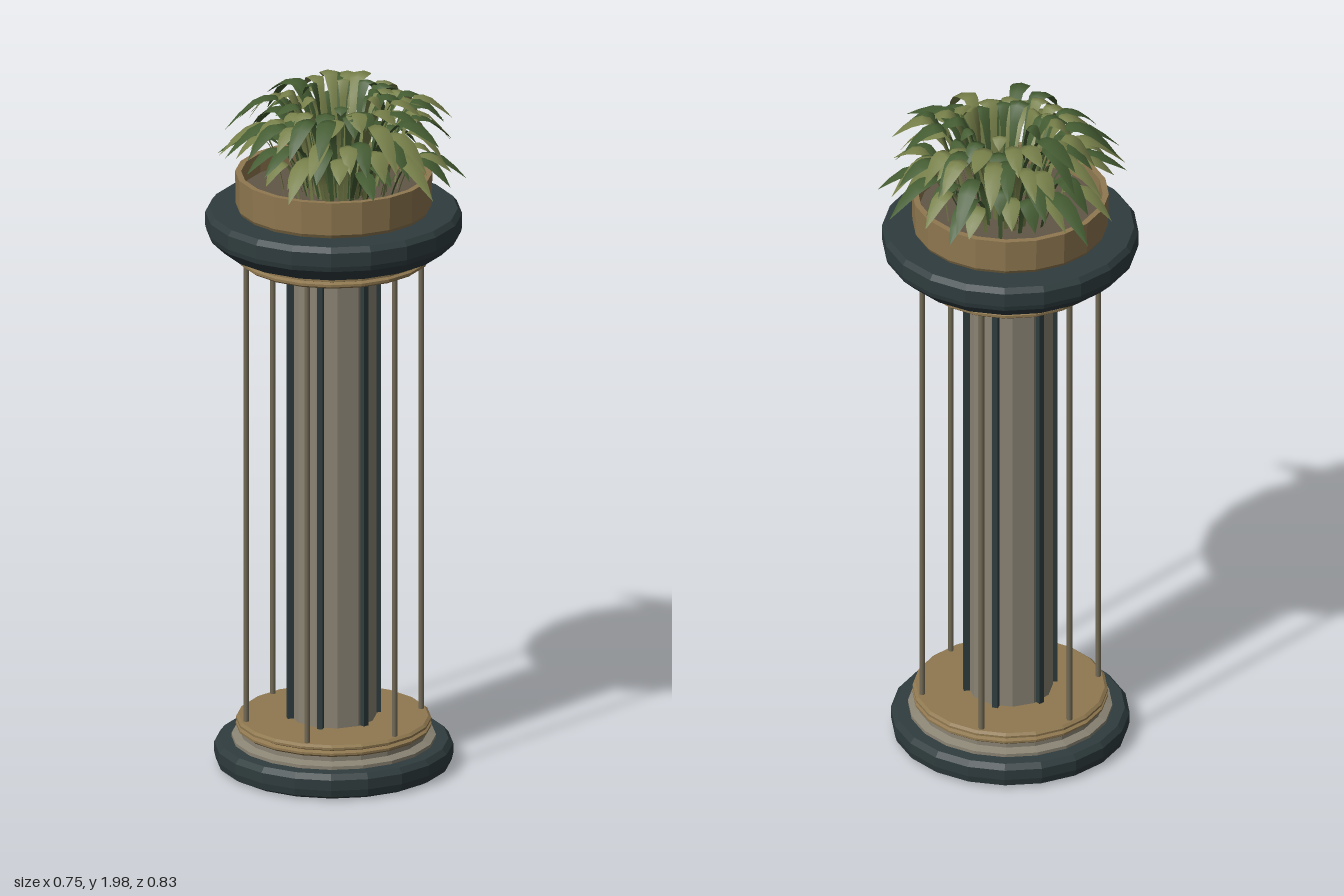
import * as THREE from 'three';

const mat = (name, color) => {
  const m = new THREE.MeshStandardMaterial({ color, side: THREE.DoubleSide });
  m.name = name;
  return m;
};

const dark = mat('dark slate', 0x2f3c3e);
const tan = mat('tan stone', 0x8f7850);
const grey = mat('warm grey', 0x8a8474);
const rodGrey = mat('rod olive grey', 0x736b57);
const soilBrown = mat('soil', 0x625746);
const leafDark = mat('dark leaf', 0x445c32);
const leafLight = mat('light leaf', 0x77804a);

// seeded random numbers
let seed = 11;
const rand = (a, b) => {
  seed = (seed * 16807) % 2147483647;
  return a + (b - a) * (seed / 2147483647);
};

// facetted shading with unshared vertices
function facet(geo) {
  const g = geo.index ? geo.toNonIndexed() : geo;
  g.computeVertexNormals();
  return g;
}

function add(parent, name, geo, material) {
  const mesh = new THREE.Mesh(geo, material);
  mesh.name = name;
  parent.add(mesh);
  return mesh;
}

// turned part from [radius, height] pairs, listed from bottom to top
const turned = (pts, sides = 20) =>
  facet(new THREE.LatheGeometry(pts.map(([r, y]) => new THREE.Vector2(r, y)), sides));

// arching blade: rises from r0, peaks at height h and drops to the tip
function blade(r0, tipR, h, tipY, width, angle) {
  const at = (t) => r0 + (tipR - r0) * t;
  const path = new THREE.CatmullRomCurve3([
    new THREE.Vector3(0, 1.685, r0),
    new THREE.Vector3(0, 1.685 + (h - 1.685) * 0.6, at(0.18)),
    new THREE.Vector3(0, h - 0.008, at(0.45)),
    new THREE.Vector3(0, h - (h - tipY) * 0.22, at(0.7)),
    new THREE.Vector3(0, tipY, tipR),
  ]);
  const widths = [0.2, 0.24, 0.3, 0.45, 0.75, 1, 0.95, 0.6, 0];
  const pos = [], index = [];
  widths.forEach((w, i) => {
    const p = path.getPoint(i / (widths.length - 1));
    const half = (w * width) / 2;
    // slight fold along the midrib
    pos.push(-half, p.y - half * 0.25, p.z, 0, p.y, p.z, half, p.y - half * 0.25, p.z);
    if (i === 0) return;
    for (let k = 0; k < 2; k++) {
      const a = (i - 1) * 3 + k, b = a + 3;
      index.push(a, a + 1, b, a + 1, b + 1, b);
    }
  });
  const g = new THREE.BufferGeometry();
  g.setAttribute('position', new THREE.Float32BufferAttribute(pos, 3));
  g.setIndex(index);
  g.computeVertexNormals();
  g.rotateY(angle);
  return g;
}

export function createModel() {
  const model = new THREE.Group();
  model.name = 'planterColumn';
  const stand = new THREE.Group();
  stand.name = 'stand';
  stand.position.set(-0.018, 0, -0.015);
  model.add(stand);

  // base
  add(stand, 'basePlinth', turned([[0, 0.005], [0.31, 0.005], [0.328, 0.015], [0.333, 0.035],
    [0.333, 0.065], [0.32, 0.08], [0, 0.085]]), dark);
  add(stand, 'baseCollar', turned([[0.285, 0.08], [0.285, 0.09], [0.262, 0.098], [0.262, 0.115]]), grey);
  add(stand, 'baseDisc', turned([[0, 0.112], [0.265, 0.112], [0.273, 0.118], [0.273, 0.124], [0.262, 0.129],
    [0.272, 0.134], [0.272, 0.14], [0.264, 0.146], [0, 0.146]]), tan);

  // column with dark ribs, ringed by thin rods
  const shaft = new THREE.CylinderGeometry(0.12, 0.12, 1.36, 12);
  shaft.translate(0, 0.82, 0);
  add(stand, 'columnShaft', facet(shaft), grey);
  for (let i = 0; i < 6; i++) {
    const a = THREE.MathUtils.degToRad(8 + i * 60);
    const x = Math.sin(a), z = Math.cos(a);
    const rib = add(stand, 'columnRib', new THREE.BoxGeometry(0.016, 1.36, 0.03), dark);
    rib.position.set(x * 0.118, 0.82, z * 0.118);
    rib.rotation.y = a;
    const rod = add(stand, 'rod', new THREE.CylinderGeometry(0.008, 0.008, 1.36, 8), rodGrey);
    rod.position.set(x * 0.25, 0.82, z * 0.25);
  }

  // capital
  add(stand, 'capitalDisc', turned([[0, 1.49], [0.262, 1.49], [0.27, 1.496], [0.27, 1.503], [0.26, 1.508],
    [0.274, 1.513], [0.274, 1.521], [0.262, 1.528], [0, 1.528]]), tan);
  add(stand, 'capitalRing', turned([[0, 1.524], [0.29, 1.524], [0.318, 1.535], [0.354, 1.57], [0.358, 1.585],
    [0.358, 1.625], [0.346, 1.64], [0, 1.64]]), dark);

  // pot
  add(stand, 'pot', turned([[0.265, 1.635], [0.273, 1.65], [0.275, 1.745], [0.258, 1.745], [0.255, 1.68]]), tan);
  const soil = new THREE.CylinderGeometry(0.258, 0.258, 0.05, 20);
  soil.translate(0, 1.665, 0);
  add(stand, 'soil', facet(soil), soilBrown);

  // foliage in three tiers: [count, base radius, tip radius, peak height, drop, width]
  const foliage = new THREE.Group();
  foliage.name = 'foliage';
  model.add(foliage);
  const tiers = [
    [26, [0.04, 0.1], [0.17, 0.28], [1.94, 1.99], [0.03, 0.07], [0.045, 0.06]],
    [34, [0.06, 0.13], [0.27, 0.35], [1.9, 1.98], [0.06, 0.12], [0.045, 0.06]],
    [30, [0.08, 0.17], [0.26, 0.36], [1.81, 1.9], [0.05, 0.09], [0.045, 0.06]],
  ];
  let n = 0;
  for (const [count, base, tip, peak, drop, width] of tiers) {
    for (let i = 0; i < count; i++) {
      const angle = ((i + rand(-0.4, 0.4)) / count) * Math.PI * 2;
      const h = rand(...peak);
      const g = blade(rand(...base), rand(...tip), h, h - rand(...drop), rand(...width), angle);
      add(foliage, 'leaf', g, n++ % 2 ? leafLight : leafDark);
    }
  }
  // longest leaves
  const long = [[3.17, 0.42, leafDark], [0.05, 0.415, leafLight], [1.55, 0.37, leafDark], [-1.0, 0.39, leafLight]];
  for (const [angle, tip, material] of long) {
    add(foliage, 'longLeaf', blade(0.1, tip, 1.87, 1.77, 0.055, angle), material);
  }
  // central upright shoots
  for (let i = 0; i < 6; i++) {
    const g = blade(0.06, 0.13, rand(1.97, 2), rand(1.94, 1.96), 0.04, i * 1.05 + 0.4);
    add(foliage, 'uprightLeaf', g, i % 2 ? leafDark : leafLight);
  }
  return model;
}
